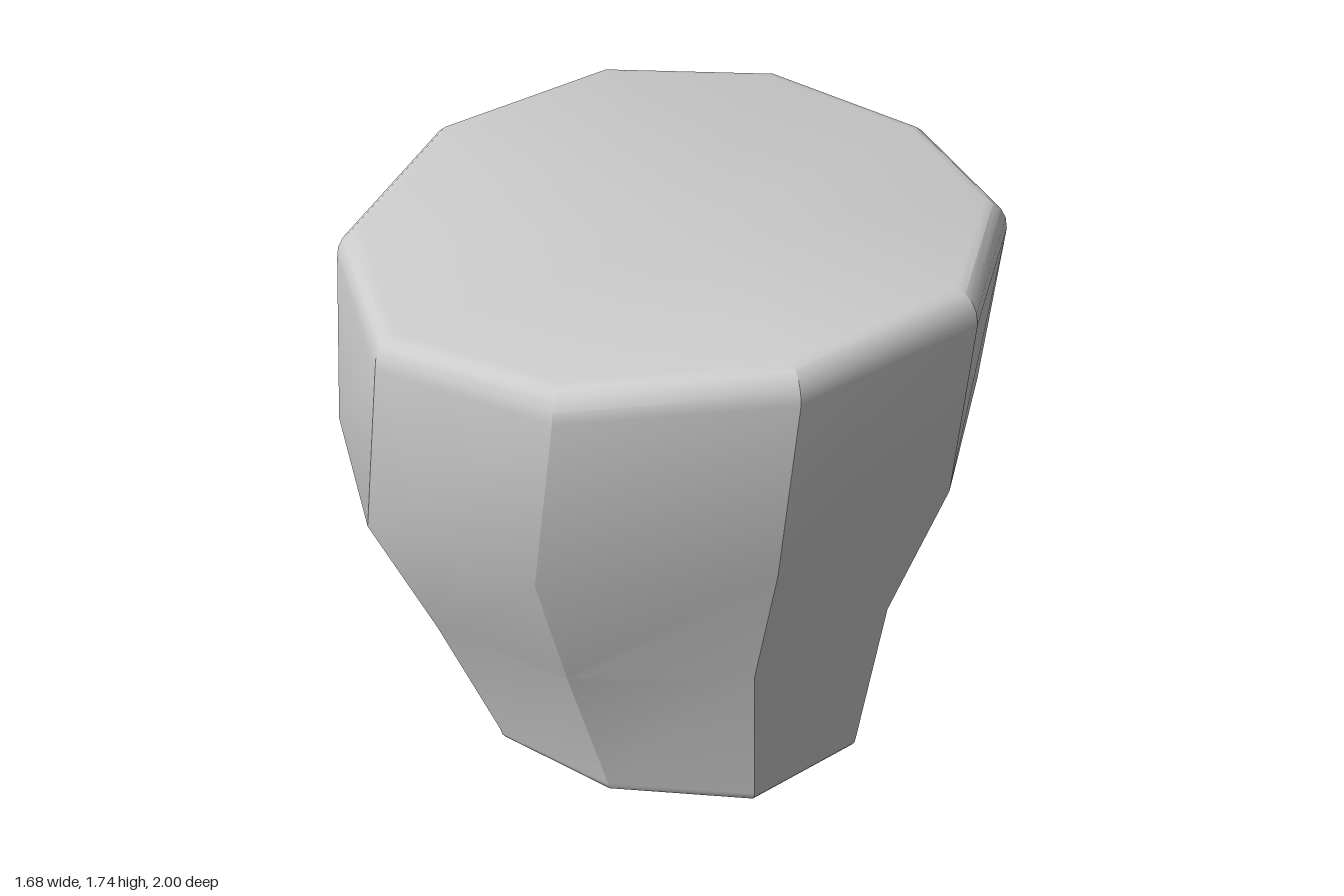
import * as THREE from 'three';
import { toCreasedNormals } from 'three/addons/utils/BufferGeometryUtils.js';

const SIDES = 10;

// Ten-sided ring: lift raises its left and right ends, bend bows its front and back corners to the right side (-x)
function ring({ y, lift = 0, tilt = 0, cx, rx, rz, bend }) {
  return Array.from({ length: SIDES }, (_, i) => {
    const a = ((i + 0.5) / SIDES) * Math.PI * 2;
    const c = Math.cos(a), s = Math.sin(a);
    const x = cx + rx * c - bend * Math.abs(s);
    return [x, y + lift * c * c - tilt * x, rz * s];
  });
}

// Rings that round a rim over; dir is 1 at the top and -1 at the bottom
function roundedRim(base, inset, height, dir, steps = 4) {
  return Array.from({ length: steps + 1 }, (_, i) => {
    const t = (i / steps) * Math.PI / 2;
    const d = inset * (1 - Math.cos(t));
    return ring({ ...base, rx: base.rx - d, rz: base.rz - d, y: base.y + dir * height * Math.sin(t) });
  });
}

// Skins the rings from bottom to top and closes both ends with a fan
function loft(rings, bottomCentre, topCentre) {
  const points = [...rings.flat(), bottomCentre, topCentre];
  const index = [];
  const last = (rings.length - 1) * SIDES;
  const bottom = rings.length * SIDES, top = bottom + 1;
  for (let i = 0; i < SIDES; i++) {
    const j = (i + 1) % SIDES;
    for (let k = 0; k < last; k += SIDES) {
      index.push(k + i, k + SIDES + i, k + j, k + j, k + SIDES + i, k + SIDES + j);
    }
    index.push(bottom, i, j, top, last + j, last + i);
  }
  const geometry = new THREE.BufferGeometry();
  geometry.setAttribute('position', new THREE.Float32BufferAttribute(points.flat(), 3));
  geometry.setIndex(index);
  return toCreasedNormals(geometry, 0.5);
}

export function createModel() {
  const group = new THREE.Group();
  group.name = 'facetedBlock';

  const foot = { y: 0.055, tilt: 0.018, cx: 0.035, rx: 0.6, rz: 0.64, bend: 0.16 };
  const lower = { y: 0.52, lift: 0.045, cx: 0.03, rx: 0.674, rz: 0.81, bend: 0.2 };
  const shoulder = { y: 0.97, lift: 0.1, cx: 0.035, rx: 0.847, rz: 1, bend: 0.225 };
  const crown = { y: 1.53, lift: 0.13, cx: 0.05, rx: 0.88, rz: 0.98, bend: 0.16 };

  const rings = [
    ...roundedRim(foot, 0.045, 0.045, -1).reverse(),
    ring(lower),
    ring(shoulder),
    ...roundedRim(crown, 0.07, 0.09, 1),
  ];
  const body = new THREE.Mesh(
    loft(rings, [-0.01, 0.01, 0], [-0.02, 1.625, 0]),
    new THREE.MeshStandardMaterial({ color: 0xcccccc }),
  );
  body.name = 'body';
  group.add(body);
  return group;
}
